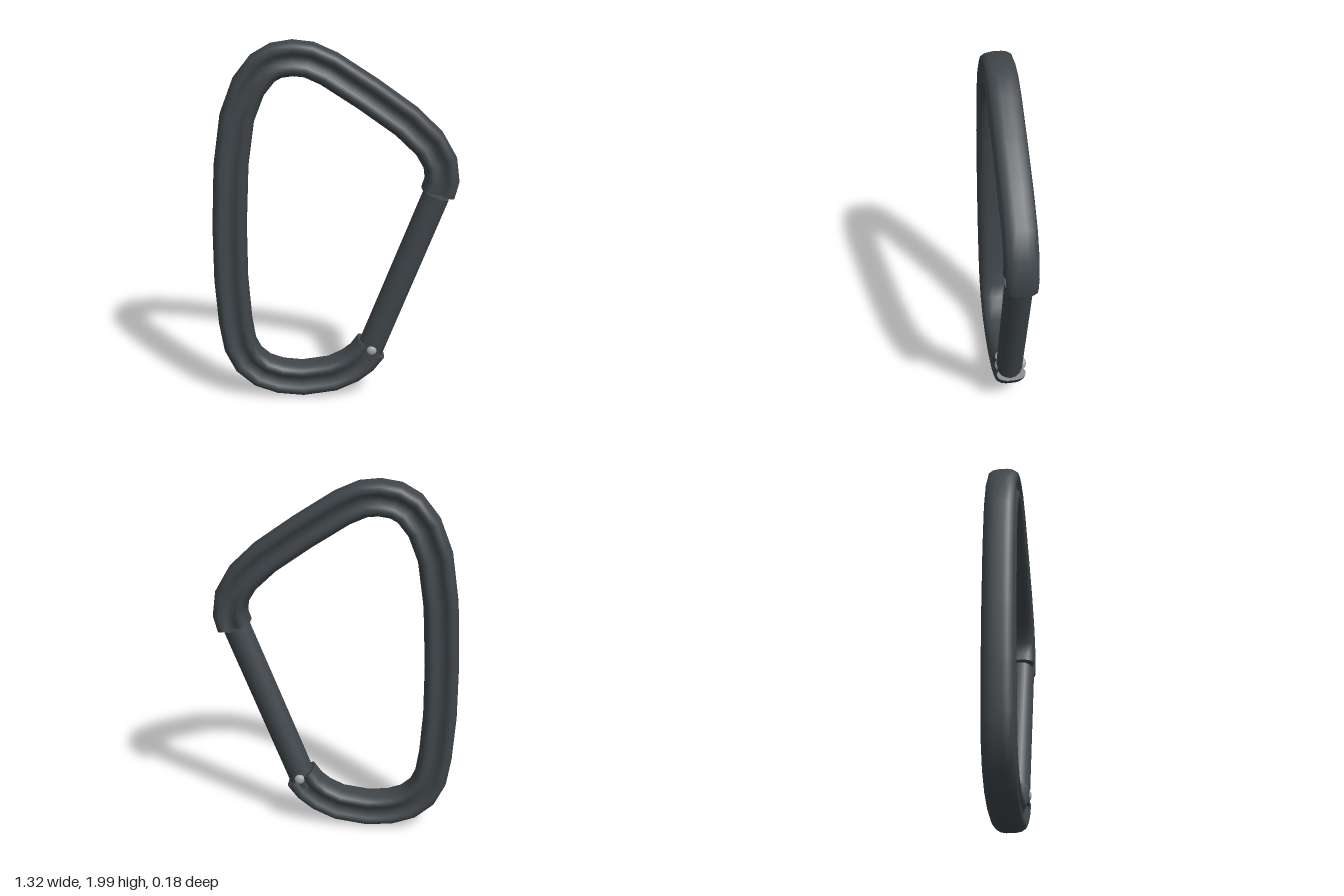
import * as THREE from 'three';

// Centre line of the bent bar, from the nose round to the hinge
const PATH = [
  [0.55, 1.18], [0.57, 1.25], [0.558, 1.345], [0.498, 1.45], [0.375, 1.57], [0.175, 1.715],
  [-0.03, 1.85], [-0.135, 1.898], [-0.22, 1.908], [-0.305, 1.895], [-0.375, 1.855],
  [-0.45, 1.76], [-0.512, 1.6], [-0.55, 1.34], [-0.567, 1.0], [-0.567, 0.7], [-0.55, 0.45],
  [-0.528, 0.31], [-0.482, 0.215], [-0.405, 0.147], [-0.305, 0.11], [-0.18, 0.097],
  [-0.015, 0.12], [0.085, 0.167], [0.15, 0.218], [0.2, 0.285],
].map(([x, y]) => new THREE.Vector2(x, y));

// Grooved bar section (across, depth): one quarter, mirrored to a full loop
function barSection() {
  const quarter = [[0.091, 0.025], [0.086, 0.052], [0.072, 0.075], [0.052, 0.082], [0.032, 0.075], [0.014, 0.06]];
  const flip = (pts, sx, sz) => pts.map(([n, z]) => new THREE.Vector2(n * sx, z * sz));
  const back = [...quarter].reverse();
  return [...flip(quarter, 1, 1), ...flip(back, -1, 1), ...flip(quarter, -1, -1), ...flip(back, 1, -1)];
}

// Sweep the section along the flat path and close both ends
function sweep(path, section) {
  const pos = [], index = [], m = section.length, last = path.length - 1;
  const ring = (i) => {
    const t = path[Math.min(i + 1, last)].clone().sub(path[Math.max(i - 1, 0)]).normalize();
    for (const s of section) pos.push(path[i].x + t.y * s.x, path[i].y - t.x * s.x, s.y);
  };
  for (let i = 0; i <= last; i++) ring(i);
  for (let i = 0; i < last; i++) {
    for (let j = 0; j < m; j++) {
      const a = i * m + j, b = i * m + (j + 1) % m;
      index.push(a, a + m, b, b, a + m, b + m);
    }
  }
  const tris = THREE.ShapeUtils.triangulateShape(section, []);
  for (const i of [0, last]) {
    const base = pos.length / 3;
    ring(i);
    for (const [a, b, c] of tris) {
      if (i === 0) index.push(base + a, base + b, base + c);
      else index.push(base + a, base + c, base + b);
    }
  }
  const geo = new THREE.BufferGeometry();
  geo.setAttribute('position', new THREE.Float32BufferAttribute(pos, 3));
  geo.setIndex(index);
  geo.computeVertexNormals();
  return geo;
}

export function createModel() {
  const group = new THREE.Group();
  const darkMetal = new THREE.MeshStandardMaterial({ color: 0x3f464a });
  darkMetal.name = 'dark metal';
  const steel = new THREE.MeshStandardMaterial({ color: 0xa6a9a9 });
  steel.name = 'steel';
  const add = (name, geo, mat) => {
    const mesh = new THREE.Mesh(geo, mat);
    mesh.name = name;
    group.add(mesh);
    return mesh;
  };

  add('body', sweep(PATH, barSection()), darkMetal);

  // Straight round gate between hinge and nose
  const low = new THREE.Vector3(0.178, 0.23, 0.006), high = new THREE.Vector3(0.54, 1.166, 0.006);
  const dir = high.clone().sub(low);
  const gate = add('gate', new THREE.CylinderGeometry(0.074, 0.074, dir.length(), 16), darkMetal);
  gate.position.copy(low).add(high).multiplyScalar(0.5);
  gate.rotation.z = -Math.atan2(dir.x, dir.y);

  // Hinge pin with a domed head on each side
  const pin = add('hingePin', new THREE.CylinderGeometry(0.027, 0.027, 0.15, 12), steel);
  pin.rotation.x = Math.PI / 2;
  pin.position.set(0.2, 0.29, 0);
  for (const side of [1, -1]) {
    const head = add('pinHead', new THREE.SphereGeometry(0.028, 12, 8), steel);
    head.scale.z = 0.55;
    head.position.set(0.2, 0.29, side * 0.073);
  }
  return group;
}
